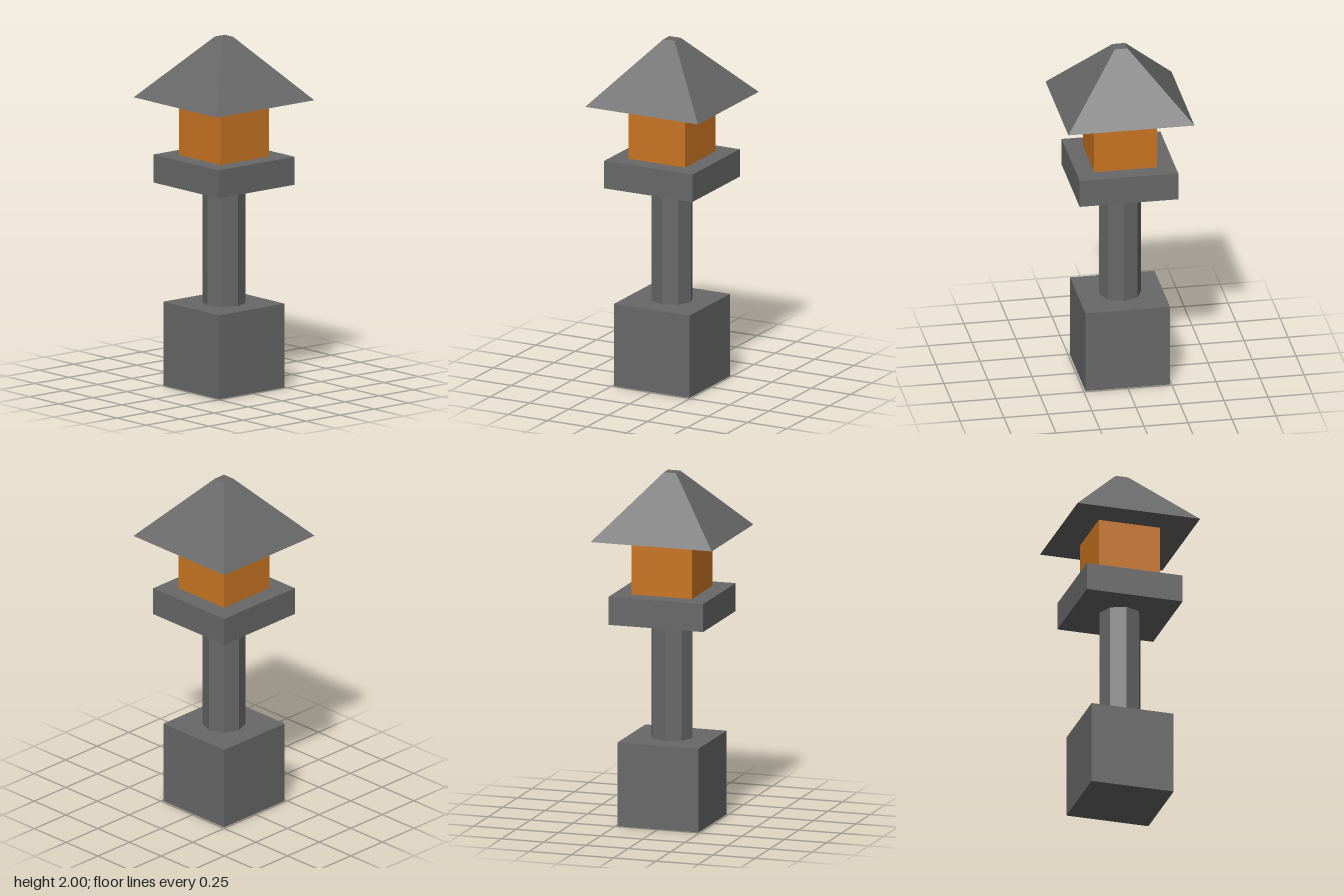
import * as THREE from 'three';

export function createModel() {
  const model = new THREE.Group();
  const stone = new THREE.MeshStandardMaterial({ name: 'grey stone', color: 0x686868, flatShading: true });
  const glow = new THREE.MeshStandardMaterial({ name: 'amber light', color: 0xca7522, flatShading: true });

  // Place a part of the given height with its underside at y = bottom
  const add = (name, geometry, material, bottom, height) => {
    const mesh = new THREE.Mesh(geometry, material);
    mesh.name = name;
    mesh.position.y = bottom + height / 2;
    model.add(mesh);
  };
  const block = (name, width, bottom, top, material) =>
    add(name, new THREE.BoxGeometry(width, top - bottom, width), material, bottom, top - bottom);

  // Base, octagonal post, platform and light box
  block('base', 0.48, 0, 0.48, stone);
  add('post', new THREE.CylinderGeometry(0.12, 0.12, 0.68, 8), stone, 0.48, 0.68);
  block('platform', 0.56, 1.16, 1.32, stone);
  block('lightBox', 0.358, 1.32, 1.645, glow);

  // Square pyramid roof with a small flat top
  const roof = new THREE.CylinderGeometry(0.036 * Math.SQRT2, 0.358 * Math.SQRT2, 0.355, 4);
  roof.rotateY(Math.PI / 4);
  add('roof', roof, stone, 1.645, 0.355);

  return model;
}
